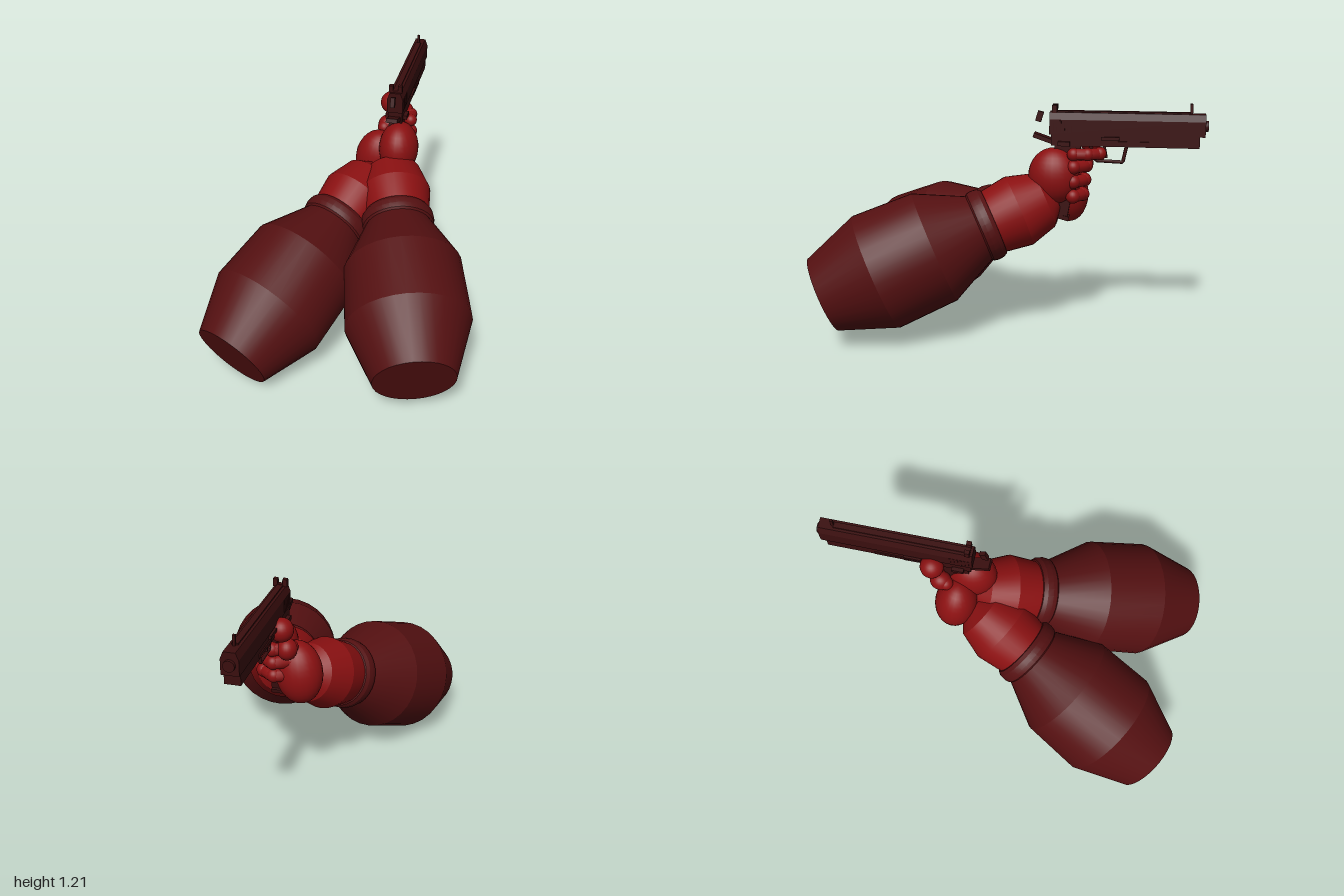
import * as THREE from 'three';
import { toCreasedNormals } from 'three/addons/utils/BufferGeometryUtils.js';

const mat = (name, color) => {
  const m = new THREE.MeshStandardMaterial({ color });
  m.name = name;
  return m;
};

export function createModel() {
  const sleeveMat = mat('dark red cloth', 0x541011);
  const skinMat = mat('bright red skin', 0x8a1011);
  const gunMat = mat('blackened red metal', 0x3a0e0e);
  const root = new THREE.Group();
  root.name = 'armsWithPistol';

  const add = (parent, name, geo, material, pos = [0, 0, 0], rot = [0, 0, 0]) => {
    const mesh = new THREE.Mesh(geo, material);
    mesh.name = name;
    mesh.position.set(...pos);
    mesh.rotation.set(...rot);
    parent.add(mesh);
    return mesh;
  };
  const turned = (profile) => toCreasedNormals(
    new THREE.LatheGeometry(profile.map(([r, y]) => new THREE.Vector2(r, y)), 32), 0.3);
  const blob = (parent, name, pos, scale, rot) => {
    add(parent, name, new THREE.SphereGeometry(1, 24, 16), skinMat, pos, rot).scale.set(...scale);
  };

  // Arms: barrel sleeve, rolled cuff and forearm, turned around one axis
  const arm = (name, elbow, dir) => {
    const g = new THREE.Group();
    g.name = name;
    g.position.set(...elbow);
    g.quaternion.setFromUnitVectors(new THREE.Vector3(0, 1, 0), new THREE.Vector3(...dir).normalize());
    add(g, 'sleeve', turned([[0, 0], [0.2, 0], [0.31, 0.29], [0.298, 0.61], [0.175, 0.86]]), sleeveMat);
    add(g, 'cuff', turned([[0.17, 0.85], [0.186, 0.865], [0.191, 0.89], [0.188, 0.92], [0.176, 0.94], [0.15, 0.945]]), sleeveMat);
    add(g, 'forearm', turned([[0.16, 0.9], [0.172, 0.96], [0.19, 1.08], [0.15, 1.22], [0.08, 1.28], [0, 1.29]]), skinMat);
    root.add(g);
  };
  arm('leftArm', [0.43, 0.26, 0.9], [-0.27, 0.37, -0.89]);
  arm('rightArm', [-0.485, 0.19, 0.855], [0.385, 0.393, -0.836]);

  // Hands: rounded palms around the grip
  const hands = new THREE.Group();
  hands.name = 'hands';
  root.add(hands);
  blob(hands, 'leftPalm', [0.122, 0.845, -0.238], [0.105, 0.145, 0.13]);
  blob(hands, 'rightPalm', [-0.005, 0.74, -0.3], [0.122, 0.165, 0.11], [0.1, 0, -0.15]);
  blob(hands, 'thumbBase', [0.03, 0.9, -0.38], [0.05, 0.055, 0.055]);
  blob(hands, 'thumb', [0.045, 1.02, -0.42], [0.06, 0.06, 0.06]);

  // Fingers wrapped over the front of the grip
  const finger = (name, y, r, points) => {
    const curve = new THREE.CatmullRomCurve3(points.map(([x, z]) => new THREE.Vector3(x, y, z)));
    add(hands, name, new THREE.TubeGeometry(curve, 16, r, 10), skinMat);
    for (const t of [0, 0.5, 1]) {
      const p = curve.getPoint(t);
      blob(hands, name + 'Joint', p.toArray(), [r * 1.12, r * 1.12, r * 1.12]);
    }
  };
  [0.9, 0.825, 0.75].forEach((y, i) =>
    finger('wrappedFinger', y, 0.033, [[0.02, -0.35], [0.1, -0.4 + i * 0.008], [0.165, -0.34]]));
  finger('triggerFinger', 0.965, 0.03, [[0.165, -0.34], [0.155, -0.41], [0.12, -0.47]]);

  // Pistol, centred on its own x
  const gun = new THREE.Group();
  gun.name = 'pistol';
  gun.position.x = 0.1;
  root.add(gun);
  const box = (name, size, pos, rot) =>
    add(gun, name, new THREE.BoxGeometry(...size), gunMat, pos, rot);

  // Slide with chamfered top edges
  const s = new THREE.Shape();
  [[-0.042, 1.06], [0.042, 1.06], [0.042, 1.135], [0.028, 1.17], [-0.028, 1.17], [-0.042, 1.135]]
    .forEach(([x, y], i) => (i ? s.lineTo(x, y) : s.moveTo(x, y)));
  add(gun, 'slide', new THREE.ExtrudeGeometry(s, { depth: 0.77, bevelEnabled: false }), gunMat, [0, 0, -0.985]);
  add(gun, 'barrel', new THREE.CylinderGeometry(0.027, 0.027, 0.06, 20), gunMat, [0, 1.11, -0.97], [Math.PI / 2, 0, 0]);
  box('topRib', [0.03, 0.008, 0.68], [0, 1.173, -0.57]);
  for (let i = 0; i < 6; i++) box('slideSerration', [0.088, 0.06, 0.008], [0, 1.1, -0.235 - i * 0.018]);

  // Frame, rail and controls
  box('frame', [0.076, 0.062, 0.735], [0, 1.034, -0.592]);
  box('rail', [0.088, 0.018, 0.17], [0, 1.022, -0.63]);
  box('slideStop', [0.1, 0.016, 0.09], [0, 1.045, -0.52]);
  box('safety', [0.116, 0.022, 0.06], [0, 1.015, -0.29]);
  box('beavertail', [0.06, 0.022, 0.11], [0, 1.035, -0.185], [-0.33, 0, 0]);
  box('hammer', [0.022, 0.052, 0.03], [0, 1.145, -0.162], [-0.3, 0, 0]);

  // Grip raked toward the rear, with its magazine foot
  box('grip', [0.07, 0.38, 0.13], [0, 0.835, -0.28], [-0.17, 0, 0]);
  box('magazineFoot', [0.07, 0.022, 0.15], [0, 0.64, -0.245], [-0.25, 0, 0]);

  // Trigger and guard
  const path = new THREE.CurvePath();
  const pts = [[1.0, -0.42], [0.925, -0.45], [0.92, -0.585], [1.01, -0.603]]
    .map(([y, z]) => new THREE.Vector3(0, y, z));
  for (let i = 0; i < 3; i++) path.add(new THREE.LineCurve3(pts[i], pts[i + 1]));
  add(gun, 'triggerGuard', new THREE.TubeGeometry(path, 36, 0.009, 8), gunMat);
  box('trigger', [0.018, 0.07, 0.014], [0, 0.975, -0.495], [0.2, 0, 0]);

  // Sights
  for (const side of [-1, 1]) box('rearSight', [0.022, 0.038, 0.025], [side * 0.024, 1.187, -0.24]);
  box('rearSightBase', [0.07, 0.012, 0.025], [0, 1.174, -0.24]);
  box('frontSight', [0.012, 0.05, 0.014], [0, 1.195, -0.915]);

  return root;
}
